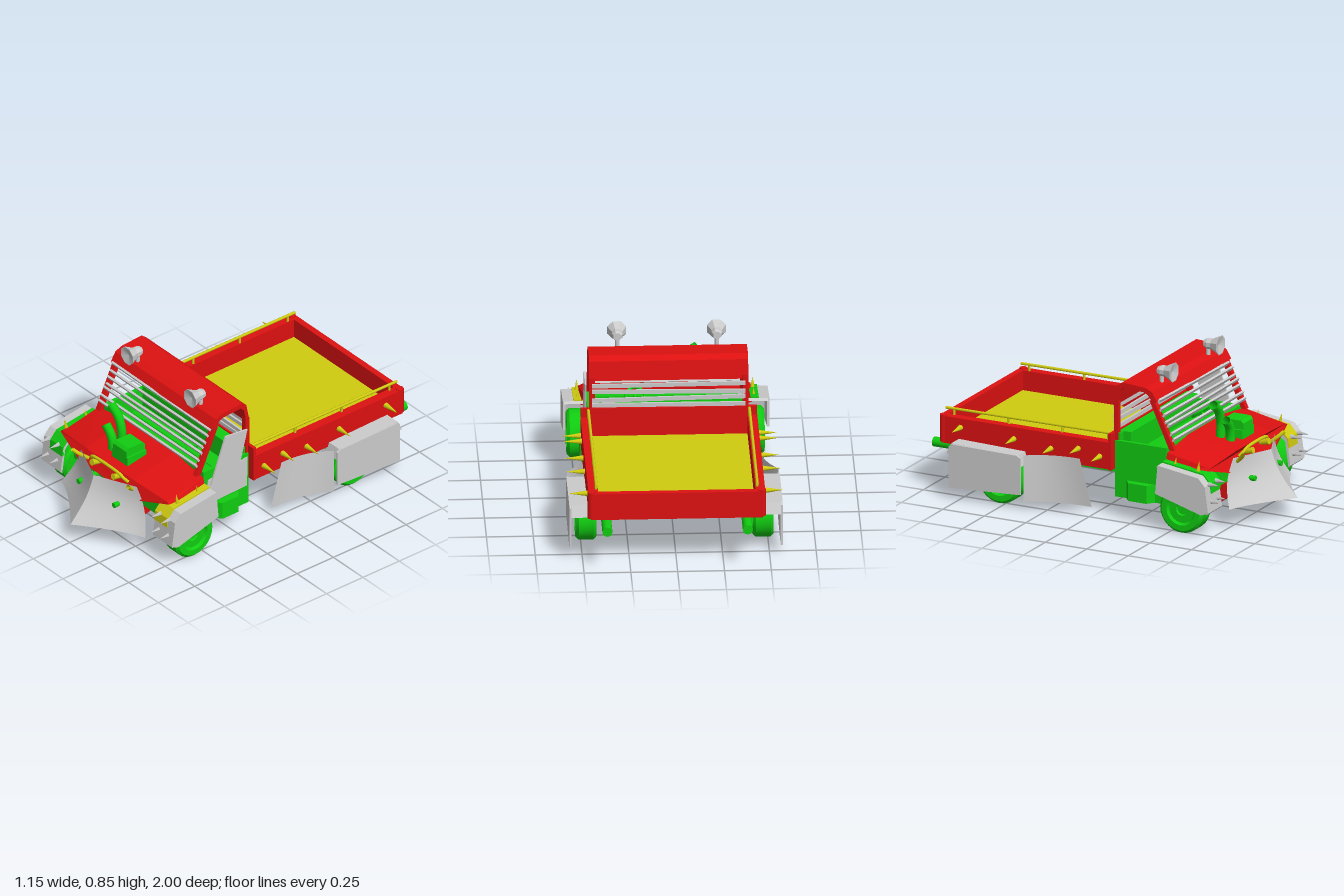
import * as THREE from 'three';
import { toCreasedNormals } from 'three/addons/utils/BufferGeometryUtils.js';

const mat = (color) => new THREE.MeshStandardMaterial({ color, side: THREE.DoubleSide });

export function createModel() {
  const model = new THREE.Group();
  const red = mat(0xdd1111), green = mat(0x11cc11), yellow = mat(0xd0cc10), grey = mat(0xcccccc);

  const add = (name, geo, m, parent = model) => {
    const mesh = new THREE.Mesh(geo, m);
    mesh.name = name;
    parent.add(mesh);
    return mesh;
  };
  // Box given by its limits on each axis
  const box = (name, m, [x0, x1], [y0, y1], [z0, z1]) => {
    const b = add(name, new THREE.BoxGeometry(x1 - x0, y1 - y0, z1 - z0), m);
    b.position.set((x0 + x1) / 2, (y0 + y1) / 2, (z0 + z1) / 2);
    return b;
  };
  // Side outline of [z, y] points, extruded across x
  const profile = (name, m, pts, x0, x1) => {
    const shape = new THREE.Shape(pts.map((p) => new THREE.Vector2(...p)));
    const geo = new THREE.ExtrudeGeometry(shape, { depth: x1 - x0, bevelEnabled: false });
    geo.rotateY(-Math.PI / 2).translate(x1, 0, 0);
    return add(name, geo, m);
  };
  // Cylinder or cone running from a to b
  const rod = (name, m, a, b, r0, r1 = r0, sides = 12) => {
    const A = new THREE.Vector3(...a), B = new THREE.Vector3(...b), d = B.clone().sub(A);
    const c = add(name, new THREE.CylinderGeometry(r1, r0, d.length(), sides), m);
    c.position.copy(A).add(B).multiplyScalar(0.5);
    c.quaternion.setFromUnitVectors(new THREE.Vector3(0, 1, 0), d.normalize());
    return c;
  };
  const pipe = (name, m, pts, r) => add(name, new THREE.TubeGeometry(
    new THREE.CatmullRomCurve3(pts.map((p) => new THREE.Vector3(...p))), 20, r, 10), m);
  // Thin surface from a rule (u, v in 0..1) -> [x, y, z]
  const sheet = (name, m, nu, nv, rule) => {
    const geo = new THREE.PlaneGeometry(1, 1, nu, nv), p = geo.attributes.position;
    for (let i = 0; i < p.count; i++) p.setXYZ(i, ...rule(p.getX(i) + 0.5, p.getY(i) + 0.5));
    return add(name, toCreasedNormals(geo, 0.5), m);
  };

  // Wheels, axles and drive line
  const tyre = [[0, -0.03], [0.03, -0.03], [0.035, -0.04], [0.075, -0.04], [0.085, -0.055], [0.115, -0.055],
    [0.13, -0.04], [0.13, 0.04], [0.115, 0.055], [0.085, 0.055], [0.075, 0.04], [0.035, 0.04], [0.03, 0.03], [0, 0.03]];
  const wheelGeo = toCreasedNormals(
    new THREE.LatheGeometry(tyre.map((p) => new THREE.Vector2(...p)), 28).rotateZ(-Math.PI / 2), 0.6);
  for (const z of [0.566, -0.53]) {
    for (const s of [-1, 1]) add('wheel', wheelGeo, green).position.set(s * 0.473, 0.132, z);
    rod('axle', green, [-0.46, 0.13, z], [0.46, 0.13, z], 0.018);
  }
  rod('driveShaft', green, [0, 0.13, 0.566], [0, 0.13, -0.53], 0.015);
  box('gearbox', grey, [-0.035, 0.035], [0.1, 0.175], [-0.005, 0.065]);
  rod('differential', red, [-0.115, 0.13, 0.566], [0.11, 0.13, 0.566], 0.07, 0.07, 16);

  // Chassis, cab body and seat
  box('subframe', green, [-0.3, 0.3], [0.205, 0.27], [-0.65, 0.13]);
  box('engineBay', green, [-0.38, 0.38], [0.205, 0.31], [0.42, 0.66]);
  box('cabFloor', green, [-0.42, 0.42], [0.205, 0.28], [0.12, 0.43]);
  box('cabBackWall', green, [-0.42, 0.42], [0.27, 0.47], [0.12, 0.145]);
  box('dashboard', green, [-0.42, 0.42], [0.27, 0.43], [0.36, 0.43]);
  box('seat', green, [-0.36, 0.36], [0.27, 0.35], [0.14, 0.28]);
  box('seatBack', green, [-0.38, 0.38], [0.33, 0.47], [0.145, 0.19]);
  const steer = add('steeringWheel', new THREE.TorusGeometry(0.05, 0.008, 8, 20), green);
  steer.position.set(0.17, 0.45, 0.32);
  steer.rotation.x = 0.9;
  rod('steeringColumn', green, [0.17, 0.45, 0.32], [0.17, 0.4, 0.38], 0.008);
  for (const s of [-1, 1]) {
    box('cabSide', green, s < 0 ? [-0.43, -0.41] : [0.41, 0.43], [0.21, 0.43], [0.12, 0.43]);
    const plan = [[0.38, -0.41], [0.43, -0.41], [0.43, -0.36], [0.47, -0.33], [0.47, -0.22], [0.43, -0.19], [0.43, -0.12], [0.38, -0.12]];
    const shape = new THREE.Shape(plan.map(([x, y]) => new THREE.Vector2(x * s, y)));
    add('sideStep', new THREE.ExtrudeGeometry(shape, { depth: 0.1, bevelEnabled: false })
      .rotateX(-Math.PI / 2).translate(0, 0.115, 0), green);
    rod('rearPipe', green, [s * 0.375, 0.238, -0.47], [s * 0.375, 0.238, -1], 0.027);
  }

  // Hood, sloping to the front with a slight bulge in the middle
  const half = [[0.2, 0.445], [0.44, 0.41], [0.46, 0.35], [0.25, 0.285]];
  const outline = [...half, ...half.map(([x, y]) => [-x, y]).reverse()];
  const hoodGeo = new THREE.ExtrudeGeometry(new THREE.Shape(outline.map((p) => new THREE.Vector2(...p))),
    { depth: 0.25, bevelEnabled: false }).translate(0, 0, 0.44);
  const hp = hoodGeo.attributes.position;
  for (let i = 0; i < hp.count; i++) {
    if (hp.getZ(i) < 0.5) continue;
    if (hp.getY(i) > 0.4) hp.setY(i, hp.getY(i) - 0.05);
    if (Math.abs(hp.getX(i)) < 0.3) hp.setZ(i, 0.73);
  }
  hoodGeo.computeVertexNormals();
  add('hood', hoodGeo, red);

  // Engine top and bent stacks on the hood
  box('engineBlock', green, [-0.035, 0.095], [0.39, 0.455], [0.55, 0.68]);
  profile('engineCover', green, [[0.55, 0.45], [0.68, 0.45], [0.68, 0.49], [0.665, 0.505], [0.565, 0.505], [0.55, 0.49]], -0.025, 0.085);
  pipe('exhaustStack', green, [[-0.085, 0.4, 0.575], [-0.085, 0.51, 0.575], [-0.115, 0.58, 0.575], [-0.17, 0.62, 0.575]], 0.025);
  pipe('exhaustStack', green, [[-0.085, 0.4, 0.635], [-0.085, 0.44, 0.635], [-0.1, 0.49, 0.635], [-0.14, 0.535, 0.635]], 0.025);

  // Roof and pillars
  profile('roof', red, [[0.37, 0.68], [0.34, 0.73], [0.3, 0.748], [0.16, 0.758], [0.13, 0.735], [0.11, 0.63],
    [0.13, 0.63], [0.148, 0.71], [0.17, 0.73], [0.29, 0.722], [0.315, 0.71], [0.345, 0.67]], -0.425, 0.425);
  for (const x of [-0.425, 0.395]) {
    profile('frontPillar', red, [[0.475, 0.42], [0.35, 0.69], [0.325, 0.68], [0.445, 0.42]], x, x + 0.03);
    profile('rearPillar', red, [[0.11, 0.42], [0.11, 0.65], [0.135, 0.65], [0.135, 0.42]], x, x + 0.03);
  }

  // Uneven slats over the windscreen and the back window
  [0.475, 0.505, 0.545, 0.57, 0.6, 0.635, 0.67].forEach((y, i) => {
    const slat = box('frontSlat', grey, [-0.41, 0.41], [y - 0.01, y + 0.01], [-0.006, 0.006]);
    slat.position.z = 0.475 - (y - 0.445) * 0.48;
    slat.rotation.set(0.5, 0, [0, 0.004, -0.01, 0.025, -0.012, 0.006, -0.03][i]);
  });
  [0.49, 0.525, 0.565, 0.605].forEach((y, i) => {
    const slat = box('rearSlat', grey, [-0.41, 0.41], [y - 0.011, y + 0.011], [0.1, 0.112]);
    slat.rotation.z = [0.005, -0.015, 0.012, -0.006][i];
  });

  // Roof lamps
  const lampGeo = new THREE.LatheGeometry([[0, 0], [0.022, 0], [0.03, 0.02], [0.03, 0.045], [0.055, 0.095], [0.05, 0.095], [0, 0.08]]
    .map((p) => new THREE.Vector2(...p)), 8, Math.PI / 8).rotateX(Math.PI / 2);
  for (const s of [-1, 1]) {
    add('roofLamp', toCreasedNormals(lampGeo, 0.3), grey).position.set(s * 0.266, 0.803, 0.295);
    rod('lampStem', grey, [s * 0.266, 0.74, 0.315], [s * 0.266, 0.8, 0.315], 0.012);
  }

  // Plough blade with a ridge in the middle
  sheet('ploughBlade', grey, 24, 8, (u, v) => {
    const t = Math.abs(u * 2 - 1), w = 0.355 - 0.12 * v;
    const low = 0.77 + 0.225 * (1 - t) ** 1.3, high = 0.73 + 0.105 * (1 - t);
    return [(u * 2 - 1) * w, 0.115 + 0.25 * v, low + (high - low) * v - 0.025 * Math.sin(Math.PI * v)];
  });
  for (const s of [-1, 1]) rod('ploughArm', green, [s * 0.15, 0.24, 0.62], [s * 0.15, 0.24, 0.82], 0.015);

  // Bull bar and curved horns
  pipe('bullBar', yellow, [[-0.15, 0.35, 0.72], [-0.135, 0.375, 0.74], [-0.11, 0.39, 0.745], [0.11, 0.39, 0.745], [0.135, 0.375, 0.74], [0.15, 0.35, 0.72]], 0.009);
  for (const s of [-1, 1]) {
    rod('barFoot', yellow, [s * 0.09, 0.36, 0.72], [s * 0.09, 0.375, 0.775], 0.014, 0.018, 8);
    pipe('horn', yellow, [[s * 0.2, 0.32, 0.71], [s * 0.215, 0.36, 0.76], [s * 0.235, 0.39, 0.79]], 0.011);
  }

  // Front fenders: bent shell, outer cheek, painted panels and spikes
  const arch = [[0.745, 0.145], [0.725, 0.29], [0.685, 0.335], [0.44, 0.37]];
  const shell = [...arch, ...arch.map(([z, y]) => [z - 0.012, y - 0.012]).reverse()];
  const cheek = [...arch, [0.425, 0.21], [0.7, 0.13]];
  const painted = [[0.735, 0.24], [0.73, 0.295], [0.688, 0.342], [0.44, 0.377], [0.44, 0.365], [0.68, 0.33], [0.715, 0.29], [0.725, 0.24]];
  for (const s of [-1, 1]) {
    const span = (a, b) => (s > 0 ? [a, b] : [-b, -a]);
    profile('frontFender', grey, shell, ...span(0.39, 0.545));
    profile('fenderCheek', grey, cheek, ...span(0.538, 0.552));
    profile('fenderPanel', s > 0 ? yellow : green, painted, ...span(0.39, 0.495));
    for (const x of [0.43, 0.508]) for (const y of [0.2, 0.295])
      rod('fenderSpike', grey, [s * x, y, 0.725], [s * x, y, 0.79], 0.015, 0, 4);
    for (const z of [0.5, 0.64]) rod('fenderThorn', yellow, [s * 0.47, 0.335, z], [s * 0.47, 0.405, z + 0.01], 0.014, 0, 8);
  }

  // Cargo bed with floor and rails
  box('bedFloor', red, [-0.46, 0.46], [0.27, 0.3], [-0.91, 0.11]);
  box('bedLining', yellow, [-0.425, 0.425], [0.3, 0.315], [-0.89, 0.1]);
  box('bedFront', red, [-0.47, 0.47], [0.27, 0.475], [0.1, 0.118]);
  box('bedTail', red, [-0.46, 0.46], [0.28, 0.425], [-0.92, -0.885]);
  for (const s of [-1, 1]) {
    box('bedSide', red, s < 0 ? [-0.472, -0.42] : [0.42, 0.472], [0.275, 0.425], [-0.905, 0.115]);
    rod('bedCorner', red, [s * 0.455, 0.28, -0.9], [s * 0.455, 0.43, -0.9], 0.022, 0.022, 8);
    rod('bedRail', yellow, [s * 0.43, 0.465, 0.1], [s * 0.43, 0.46, -0.9], 0.008, 0.008, 8);
    for (const z of [0.08, -0.2, -0.52, -0.85])
      rod('railPost', yellow, [s * 0.43, 0.42, z], [s * 0.43, 0.463, z], 0.007, 0.007, 8);
    for (const [z, y] of [[0.05, 0.34], [-0.08, 0.365], [-0.245, 0.34], [-0.468, 0.36], [-0.79, 0.375]])
      rod('bedSpike', yellow, [s * 0.47, y, z], [s * 0.575, y, z], 0.016, 0, 10);

    // Rear fenders and the flared guard in front of them
    profile('rearFenderTop', grey, [[-0.38, 0.24], [-0.4, 0.3], [-0.8, 0.31], [-0.83, 0.25], [-0.815, 0.25], [-0.79, 0.295], [-0.41, 0.288], [-0.395, 0.24]],
      s > 0 ? 0.46 : -0.56, s > 0 ? 0.56 : -0.46);
    profile('rearFenderCheek', grey, [[-0.38, 0.085], [-0.38, 0.29], [-0.4, 0.303], [-0.79, 0.308], [-0.81, 0.295], [-0.81, 0.063]],
      s > 0 ? 0.558 : -0.57, s > 0 ? 0.57 : -0.558);
    sheet('sideGuard', grey, 12, 1, (u, v) => [
      s * (0.475 + 0.09 * u ** 2.5), 0.05 + 0.26 * v, -0.07 - 0.29 * u + (1 - v) * 0.08 * (1 - u) * 0.9]);
  }

  // Loose armour plates on the left side of the cab
  profile('doorPlate', grey, [[0.29, 0.61], [0.14, 0.595], [0.22, 0.29], [0.39, 0.34]], 0.437, 0.447);
  profile('lowerDoorPlate', grey, [[0.4, 0.37], [0.13, 0.41], [0.135, 0.23], [0.43, 0.22]], 0.429, 0.436);

  return model;
}
